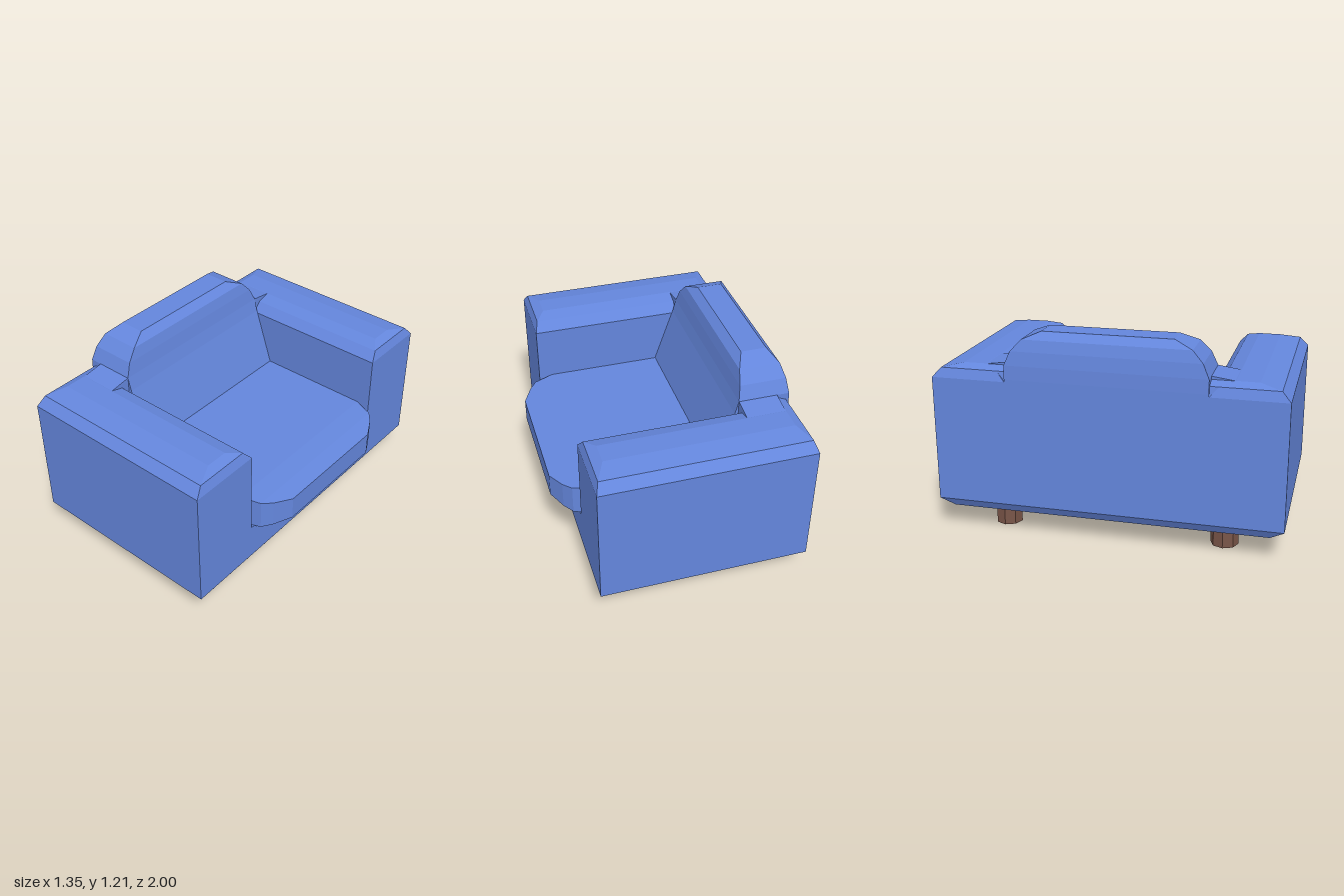
import * as THREE from 'three';

const fabric = new THREE.MeshStandardMaterial({ color: 0x6486dc, flatShading: true });
const wood = new THREE.MeshStandardMaterial({ color: 0x795548, flatShading: true });

// Skin a series of four-cornered rings and cap both ends
function loft(rings) {
  const pos = rings.flat(2), idx = [], last = (rings.length - 1) * 4;
  for (let r = 0; r < last; r += 4) {
    for (let i = 0; i < 4; i++) {
      const j = (i + 1) % 4;
      idx.push(r + i, r + j, r + 4 + j, r + i, r + 4 + j, r + 4 + i);
    }
  }
  idx.push(0, 2, 1, 0, 3, 2, last, last + 1, last + 2, last, last + 2, last + 3);
  const g = new THREE.BufferGeometry();
  g.setAttribute('position', new THREE.Float32BufferAttribute(pos, 3));
  g.setIndex(idx);
  const flat = g.toNonIndexed();
  flat.computeVertexNormals();
  return flat;
}

// Horizontal rectangle at height y, and upright rectangle at station x
const level = (y, x0, x1, z0, z1) => [[x0, y, z1], [x1, y, z1], [x1, y, z0], [x0, y, z0]];
const station = (x, y0, y1, w) => [[x, y0, w], [x, y0, -w], [x, y1, -w], [x, y1, w]];

export function createModel() {
  const group = new THREE.Group();
  const add = (name, geometry, material = fabric) => {
    const mesh = new THREE.Mesh(geometry, material);
    mesh.name = name;
    group.add(mesh);
    return mesh;
  };

  // Base with a bevelled underside
  add('base', loft([
    level(0.11, -0.57, 0.43, -0.72, 0.72),
    level(0.14, -0.645, 0.51, -0.92, 0.92),
    level(0.19, -0.675, 0.54, -1, 1),
    level(0.41, -0.675, 0.54, -1, 1),
  ]));

  // Armrests with rounded tops
  for (const [name, s] of [['leftArm', -1], ['rightArm', 1]]) {
    const ring = (y, x0, x1, a, b) =>
      level(y, x0, x1, Math.min(s * a, s * b), Math.max(s * a, s * b));
    add(name, loft([
      ring(0.41, -0.675, 0.54, 0.57, 1),
      ring(0.925, -0.675, 0.54, 0.57, 1),
      ring(0.98, -0.655, 0.52, 0.62, 0.95),
      ring(1.003, -0.6, 0.465, 0.7, 0.83),
    ]));
  }

  // Backrest: leaning front, rounded crown
  add('backrest', loft([
    [0.41, -0.675, -0.24, 0.57],
    [0.6, -0.675, -0.24, 0.57],
    [0.94, -0.675, -0.355, 0.57],
    [1.02, -0.672, -0.375, 0.57],
    [1.1, -0.661, -0.389, 0.535],
    [1.165, -0.643, -0.405, 0.475],
    [1.208, -0.6, -0.45, 0.37],
  ].map(([y, x0, x1, w]) => level(y, x0, x1, -w, w))));

  // Low shoulders blending the backrest into the arms
  add('backShoulders', loft([
    [0.9, -0.67, -0.375, 0.62],
    [0.98, -0.655, -0.375, 0.62],
    [1.002, -0.6, -0.375, 0.7],
    [1.02, -0.6, -0.376, 0.57],
  ].map(([y, x0, x1, w]) => level(y, x0, x1, -w, w))));

  // Seat cushion with a rounded, tapering front
  add('seatCushion', loft([
    [-0.4, 0.405, 0.597, 0.57],
    [0.46, 0.405, 0.597, 0.57],
    [0.575, 0.41, 0.588, 0.53],
    [0.62, 0.417, 0.58, 0.475],
    [0.675, 0.428, 0.57, 0.37],
  ].map(a => station(...a))));

  // Octagonal feet
  for (const x of [-0.475, 0.335]) {
    for (const z of [-0.65, 0.65]) {
      add(`${x > 0 ? 'front' : 'back'}${z < 0 ? 'Left' : 'Right'}Foot`,
        new THREE.CylinderGeometry(0.08, 0.08, 0.1, 8), wood).position.set(x, 0.05, z);
    }
  }
  return group;
}
